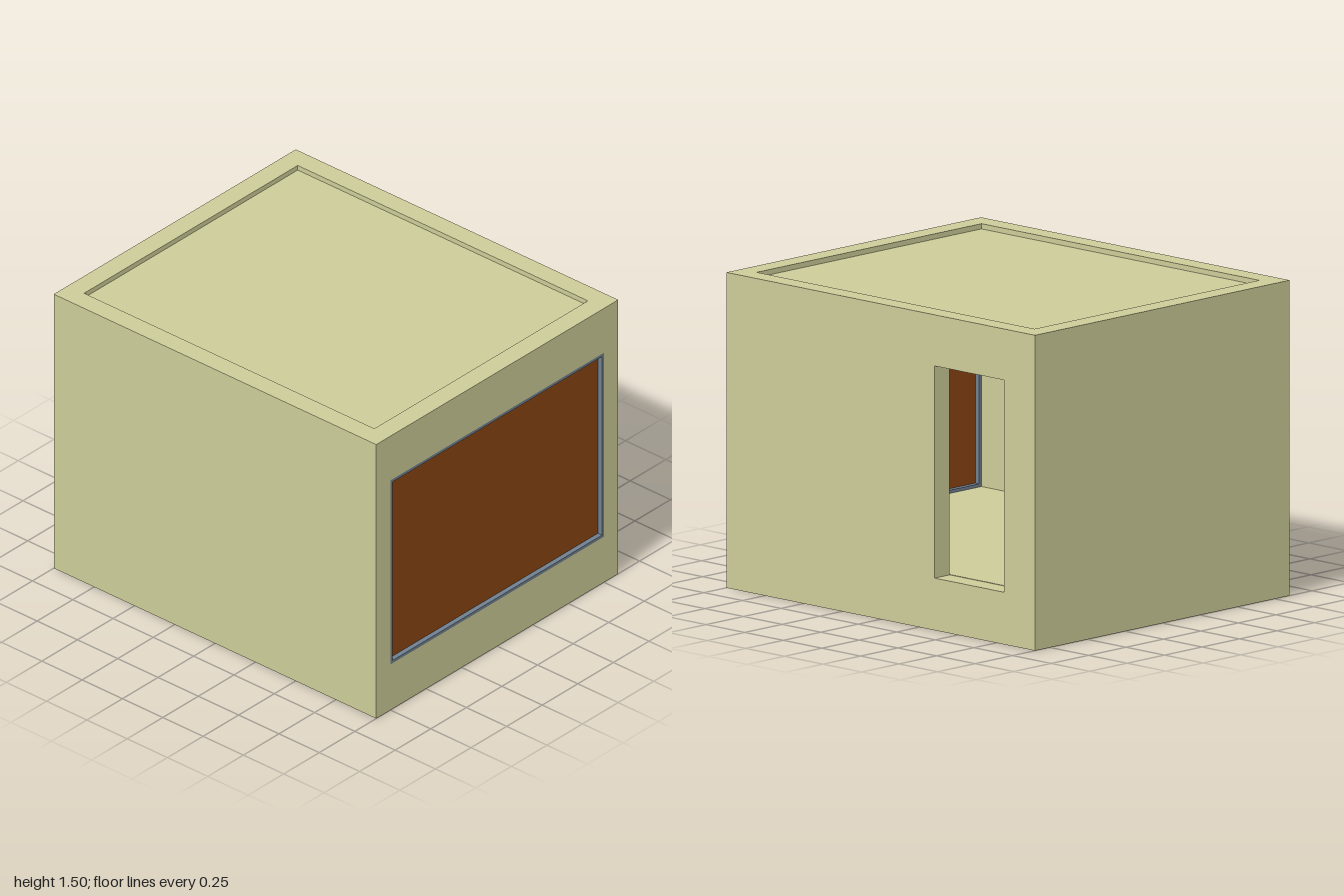
import * as THREE from 'three';

const W = 1.7, H = 1.5, D = 2, T = 0.1; // outer size and wall thickness
const SILL = 0.25, HEAD = 1.257;        // bottom and top of the openings

const stone = new THREE.MeshStandardMaterial({ color: 0xcccc99 });
const metal = new THREE.MeshStandardMaterial({ color: 0x708090 });
const rust = new THREE.MeshStandardMaterial({ color: 0x8b4513 });

function rectangle(PathType, x0, x1, y0, y1) {
  const p = new PathType();
  p.moveTo(x0, y0);
  p.lineTo(x1, y0);
  p.lineTo(x1, y1);
  p.lineTo(x0, y1);
  p.closePath();
  return p;
}

// Upright slab with an optional rectangular hole, extruded along +z from 0
function panel(outer, hole, depth) {
  const shape = rectangle(THREE.Shape, ...outer);
  if (hole) shape.holes.push(rectangle(THREE.Path, ...hole));
  return new THREE.ExtrudeGeometry(shape, { depth, bevelEnabled: false });
}

export function createModel() {
  const model = new THREE.Group();
  const add = (name, geometry, material) => {
    const mesh = new THREE.Mesh(geometry, material);
    mesh.name = name;
    model.add(mesh);
    return mesh;
  };
  const inX = W / 2 - T, inZ = D / 2 - T;

  // Front wall with the wide window opening, and plain back wall
  const face = [-W / 2, W / 2, 0, H];
  add('frontWall', panel(face, [-inX, inX, SILL, HEAD], T), stone).position.z = inZ;
  add('backWall', panel(face, null, T), stone).position.z = -D / 2;

  // Side walls: the left one has a doorway near the back
  const side = [-inZ, inZ, 0, H];
  const doorway = [0.35, 0.8, SILL - 0.002, HEAD];
  for (const [name, hole, x] of [['leftWall', doorway, inX], ['rightWall', null, -W / 2]]) {
    const wall = add(name, panel(side, hole, T), stone);
    wall.rotation.y = Math.PI / 2; // panel x runs towards -z
    wall.position.x = x;
  }

  // Thick floor, and roof slab set slightly below the wall tops
  add('floor', new THREE.BoxGeometry(2 * inX, SILL, 2 * inZ), stone).position.y = SILL / 2;
  add('roof', new THREE.BoxGeometry(2 * inX, T, 2 * inZ), stone).position.y = H - 0.025 - T / 2;

  // Window frame lining the front opening, with a recessed shutter
  const f = 0.015;
  const opening = [-inX, inX, SILL, HEAD];
  const inner = [-inX + f, inX - f, SILL + f, HEAD - f];
  add('windowFrame', panel(opening, inner, T), metal).position.z = inZ;
  add('shutter', panel(inner, null, 0.05), rust).position.z = inZ + 0.025;

  return model;
}
